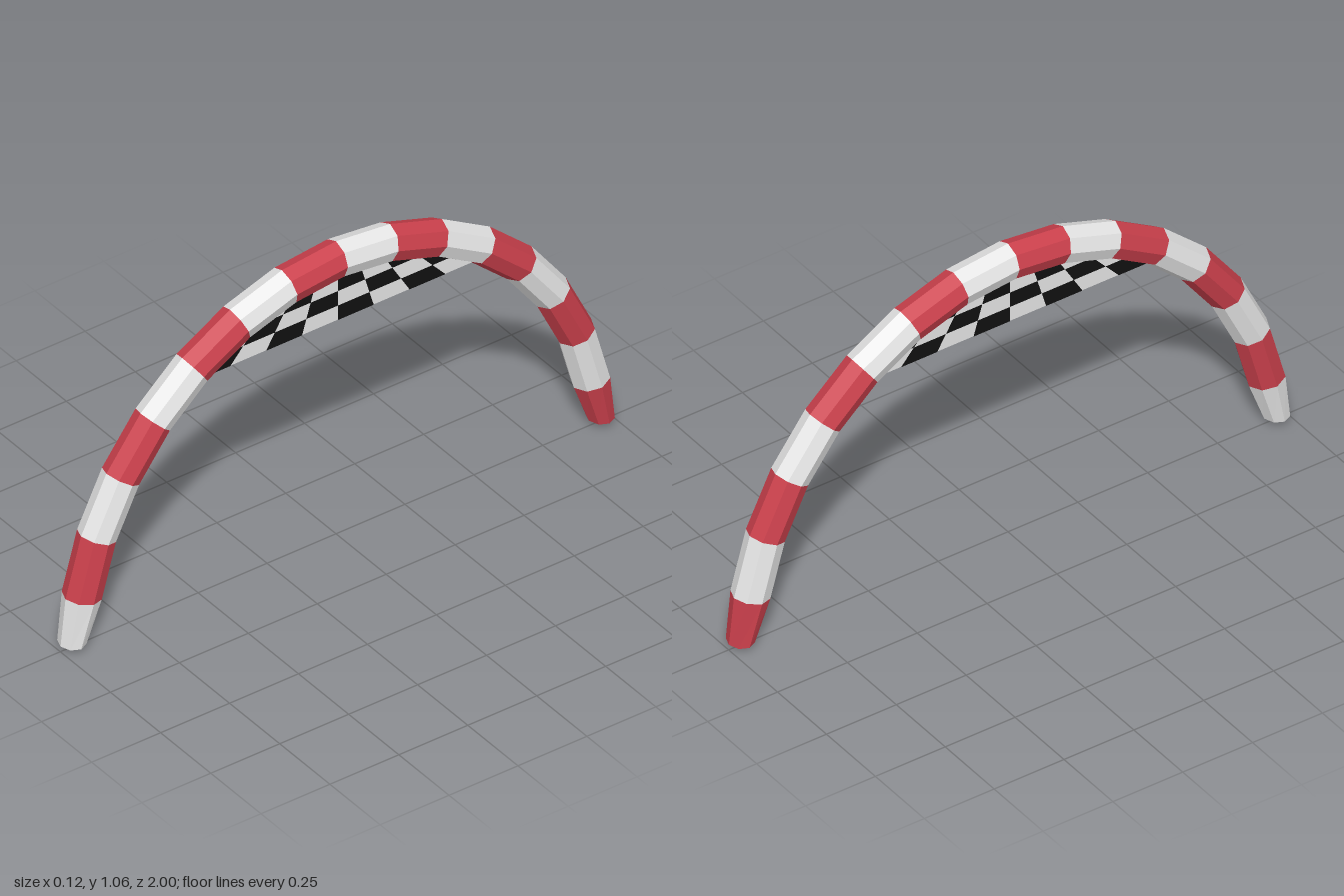
import * as THREE from 'three';

const SEGMENTS = 16, SIDES = 8;

// Ring of points around the arch's centre line; ring 0 is the foot at +z
function ring(i) {
  const t = Math.PI / 2 - (i / SEGMENTS) * Math.PI;
  const foot = i === 0 || i === SEGMENTS;
  const s = Math.sign(t);
  const center = foot
    ? new THREE.Vector3(0, 0.018, 0.958 * s)
    : new THREE.Vector3(0, -0.03 + 1.03 * Math.cos(t), 0.94 * Math.sin(t));
  const out = foot
    ? new THREE.Vector3(0, 0, s)
    : new THREE.Vector3(0, Math.cos(t) / 1.03, Math.sin(t) / 0.94).normalize();
  const rx = foot ? 0.047 : 0.06, rn = foot ? 0.041 : 0.06;
  const points = [];
  for (let j = 0; j < SIDES; j++) {
    const a = (j / SIDES) * Math.PI * 2;
    const p = center.clone().addScaledVector(out, Math.cos(a) * rn);
    p.x += Math.sin(a) * rx;
    points.push(p);
  }
  return points;
}

function fromTriangles(points) {
  const g = new THREE.BufferGeometry().setFromPoints(points);
  g.computeVertexNormals();
  return g;
}

// One coloured band of the tube, closed off at the feet
function bandGeometry(i) {
  const A = ring(i), B = ring(i + 1), tris = [];
  for (let j = 0; j < SIDES; j++) {
    const k = (j + 1) % SIDES;
    tris.push(A[j], A[k], B[k], A[j], B[k], B[j]);
    if (i === 0) tris.push(new THREE.Vector3(0, 0, 0.958), A[k], A[j]);
    if (i === SEGMENTS - 1) tris.push(new THREE.Vector3(0, 0, -0.958), B[j], B[k]);
  }
  return fromTriangles(tris);
}

// Banner outline: wide at the bottom, narrowing up into the tube
const COLS = 8, ROWS = 4, LOW = 0.78, HIGH = 0.99, WIDE = 0.52, NARROW = 0.27;
function bannerPoint(col, row, x) {
  const v = row / ROWS;
  const half = THREE.MathUtils.lerp(WIDE, NARROW, v);
  return new THREE.Vector3(x, THREE.MathUtils.lerp(LOW, HIGH, v), half * (1 - (2 * col) / COLS));
}

export function createModel() {
  const group = new THREE.Group();
  const red = new THREE.MeshStandardMaterial({ color: 0xcb404c });
  const white = new THREE.MeshStandardMaterial({ color: 0xe6e6e6 });
  const black = new THREE.MeshStandardMaterial({ color: 0x111111 });
  red.name = 'red';
  white.name = 'white';
  black.name = 'black';

  const add = (name, geometry, material, parent) => {
    const mesh = new THREE.Mesh(geometry, material);
    mesh.name = name;
    parent.add(mesh);
    return mesh;
  };

  // Striped arch
  const arch = new THREE.Group();
  arch.name = 'arch';
  group.add(arch);
  for (let i = 0; i < SEGMENTS; i++) {
    add(`archBand${i + 1}`, bandGeometry(i), i % 2 ? red : white, arch);
  }

  // White banner board
  const banner = new THREE.Group();
  banner.name = 'banner';
  group.add(banner);
  const shape = new THREE.Shape([
    new THREE.Vector2(-WIDE, LOW), new THREE.Vector2(WIDE, LOW),
    new THREE.Vector2(NARROW, HIGH), new THREE.Vector2(-NARROW, HIGH),
  ]);
  const board = new THREE.ExtrudeGeometry(shape, { depth: 0.016, bevelEnabled: false });
  board.translate(0, 0, -0.008).rotateY(Math.PI / 2);
  add('bannerBoard', board, white, banner);

  // Black checks on both faces
  const checks = [];
  for (let row = 0; row < ROWS; row++) {
    for (let col = row % 2; col < COLS; col += 2) {
      for (const x of [0.0095, -0.0095]) {
        const a = bannerPoint(col, row, x), b = bannerPoint(col + 1, row, x);
        const c = bannerPoint(col + 1, row + 1, x), d = bannerPoint(col, row + 1, x);
        if (x > 0) checks.push(a, b, c, a, c, d);
        else checks.push(a, c, b, a, d, c);
      }
    }
  }
  add('bannerChecks', fromTriangles(checks), black, banner);

  return group;
}
